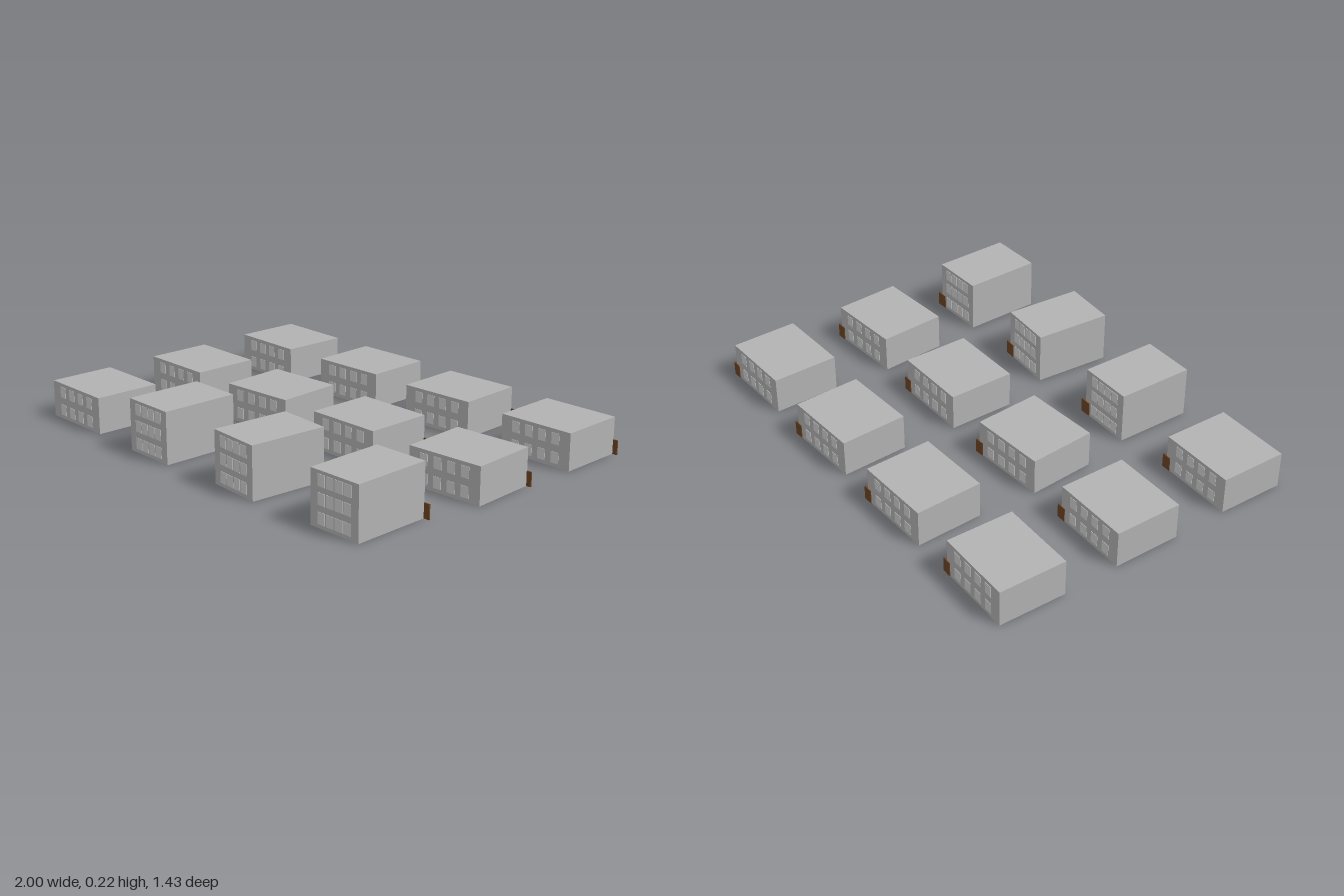
import * as THREE from 'three';

const wall = new THREE.MeshStandardMaterial({ color: 0xb2b2b2, name: 'concrete grey' });
const glass = new THREE.MeshStandardMaterial({ color: 0xd0d0d0, name: 'window light grey' });
const wood = new THREE.MeshStandardMaterial({ color: 0x6b4423, name: 'door brown' });

// The two block types: body size, window columns and rows, door width
const LOW = { w: 0.345, h: 0.16, d: 0.296, cols: [-0.1, -0.033, 0.033, 0.1], rows: [0.04, 0.12], door: 0.042 };
const TALL = { w: 0.244, h: 0.225, d: 0.343, cols: [-0.066, -0.022, 0.022, 0.066], rows: [0.04, 0.115, 0.187], door: 0.052 };

// Each block: type, x, z, turn about y
const BLOCKS = [
  [LOW, -0.824, -0.558, -0.025], [LOW, -0.278, -0.558, 0.03], [LOW, 0.264, -0.558, 0.045], [LOW, 0.808, -0.558, 0.025],
  [LOW, -0.824, -0.013, -0.012], [LOW, -0.28, -0.013, 0.065], [LOW, 0.262, -0.013, 0], [LOW, 0.808, -0.013, 0.065],
  [LOW, -0.824, 0.531, -0.02], [TALL, -0.278, 0.531, -0.015], [TALL, 0.266, 0.531, -0.075], [TALL, 0.808, 0.531, 0.02],
];

function box(name, w, h, d, material, x, y, z) {
  const mesh = new THREE.Mesh(new THREE.BoxGeometry(w, h, d), material);
  mesh.name = name;
  mesh.position.set(x, y, z);
  return mesh;
}

function createBlock(t) {
  const block = new THREE.Group();
  block.name = t === TALL ? 'tallBlock' : 'lowBlock';
  block.add(box('body', t.w, t.h, t.d, wall, 0, t.h / 2, 0));

  // Window panes on the front and back walls
  for (const side of [1, -1])
    for (const x of t.cols)
      for (const y of t.rows)
        block.add(box(side > 0 ? 'frontWindow' : 'backWindow', 0.038, 0.048, 0.003, glass, x, y, side * t.d / 2));

  // Door at the back corner, half of it past the wall's end
  block.add(box('door', t.door, 0.062, 0.006, wood, t.w / 2, 0.031, -t.d / 2));
  return block;
}

export function createModel() {
  const model = new THREE.Group();
  model.name = 'buildingEstate';
  for (const [type, x, z, turn] of BLOCKS) {
    const block = createBlock(type);
    block.position.set(x, 0, z);
    block.rotation.y = turn;
    model.add(block);
  }
  return model;
}
